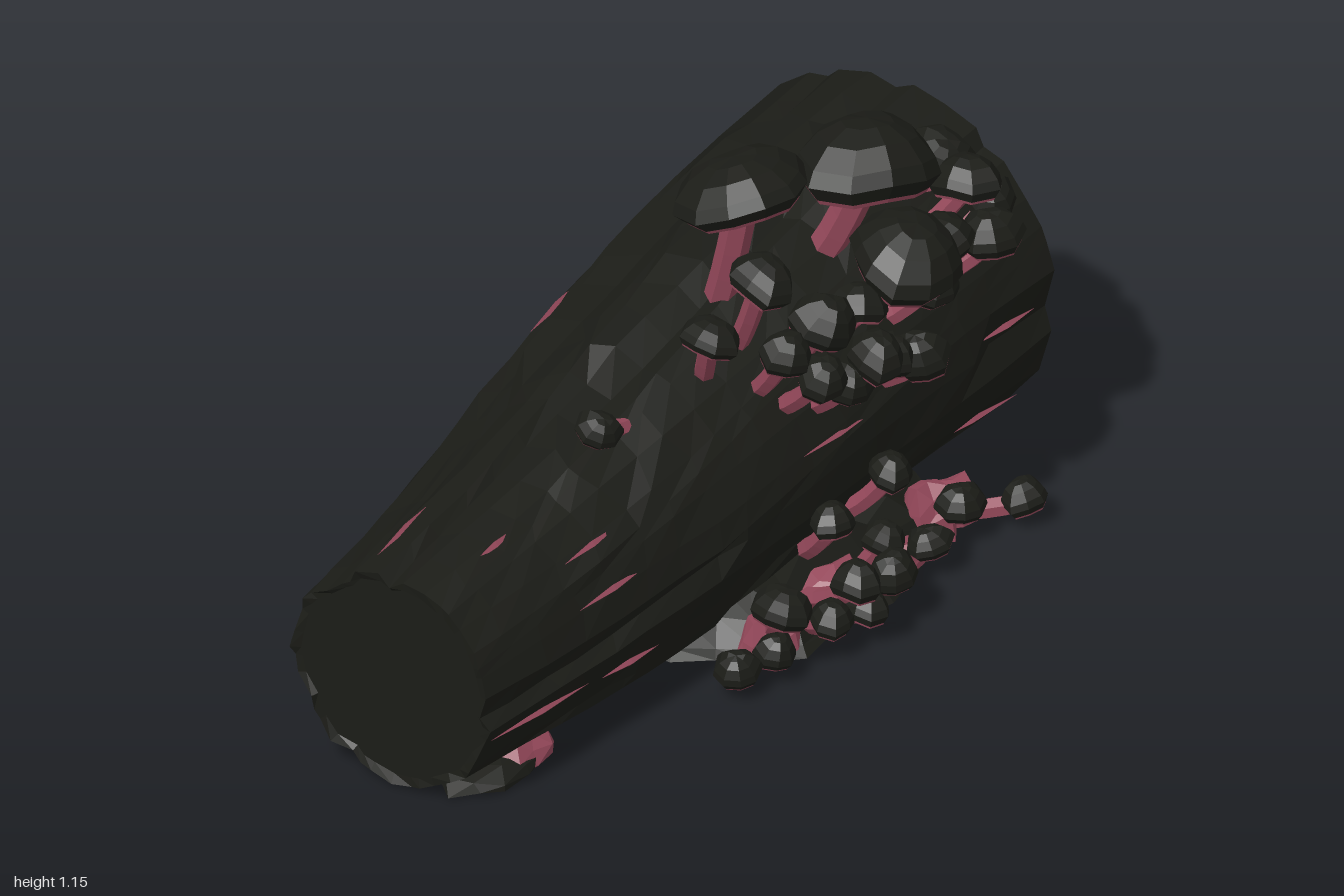
import * as THREE from 'three';

const dark = new THREE.MeshStandardMaterial({ color: 0x1b1c17, flatShading: true, side: THREE.DoubleSide });
const pink = new THREE.MeshStandardMaterial({ color: 0x94485a, flatShading: true, side: THREE.DoubleSide });

// Repeatable noise in 0..1
const hash = (a, b = 0) => {
  const s = Math.sin(a * 127.1 + b * 311.7) * 43758.5453;
  return s - Math.floor(s);
};

// Skin between closed rings of equal point count
function loft(rings) {
  const n = rings[0].length, index = [];
  for (let i = 0; i < rings.length - 1; i++) {
    for (let j = 0; j < n; j++) {
      const a = i * n + j, b = i * n + (j + 1) % n, c = a + n, d = b + n;
      index.push(a, b, c, b, d, c);
    }
  }
  const g = new THREE.BufferGeometry();
  g.setAttribute('position', new THREE.Float32BufferAttribute(rings.flat(2), 3));
  g.setIndex(index);
  g.computeVertexNormals();
  return g;
}

// Log profile along x: top height and radius
const stations = [[0.555, 0.268], [0.605, 0.315], [0.69, 0.367], [0.775, 0.4], [0.84, 0.424], [0.86, 0.436]];
function logAt(x) {
  const t = THREE.MathUtils.clamp((x + 1) / 0.4, 0, 4.999), i = Math.floor(t), f = t - i;
  const mix = k => THREE.MathUtils.lerp(stations[i][k], stations[i + 1][k], f);
  return { r: mix(1), y: mix(0) - mix(1), z: -0.022 };
}

function logGeometry() {
  const sides = 40, rings = [], steps = 18;
  const ring = (x, scale, step, rough, jag) => {
    const c = logAt(x), pts = [];
    for (let j = 0; j < sides; j++) {
      const a = (j + 0.3 * Math.sin(x * 3 + j * 1.7)) / sides * Math.PI * 2;
      // Each bark strip keeps its height for several steps; some strips are grooves
      const strip = hash(j, Math.floor((step + hash(j) * 8) / 8));
      const ridge = (strip < 0.17 ? -0.9 : strip * 0.6 - 0.25) * rough + (hash(j, step) - 0.5) * 0.2 * rough;
      const r = (c.r + ridge) * scale;
      pts.push([x + (hash(j, step + 8) - 0.5) * jag, Math.max(0.01, c.y + r * Math.cos(a)), c.z + r * Math.sin(a)]);
    }
    return pts;
  };
  // Small end, bark, large end with a raised heartwood disc
  rings.push(ring(-0.985, 0, 0, 0, 0), ring(-0.985, 0.92, 0, 0.015, 0));
  for (let i = 0; i <= steps; i++) rings.push(ring(-0.99 + 1.97 * i / steps, 1, i, 0.023, i % steps ? 0.05 : 0.015));
  rings.push(ring(0.972, 0.93, steps, 0.02, 0), ring(0.968, 0.67, 2, 0.02, 0), ring(0.976, 0.63, 2, 0.02, 0), ring(0.976, 0, 2, 0, 0));
  return loft(rings);
}

// Flat-bottomed bank of moss, set further along the log at the back
function mound() {
  const n = 26, power = v => Math.sign(v) * Math.abs(v) ** 0.8;
  const ring = (scale, y) => Array.from({ length: n }, (_, j) => {
    const a = j / n * Math.PI * 2, k = scale * (0.93 + 0.13 * hash(j, 5));
    const back = Math.max(0, -Math.cos(a));
    const reach = 0.46 - 0.05 * back + 0.13 * back ** 8;
    return [0.28 + 0.12 * back + (0.53 - 0.06 * back) * k * power(Math.sin(a)), y * (0.6 + 0.8 * hash(j, y)), reach * k * power(Math.cos(a))];
  });
  return loft([ring(0, 0.005), ring(1, 0.005), ring(0.95, 0.025), ring(0.86, 0.075), ring(0.72, 0.13), ring(0, 0.13)]);
}

// Faceted cap with pink underside on a bent stem
function mushroom([x, top, z, r, h, tiltX, tiltZ], base, seed) {
  const group = new THREE.Group();
  group.name = 'mushroom';
  const head = new THREE.Group();
  const sides = r > 0.12 ? 11 : 8;
  const profile = pts => new THREE.LatheGeometry(pts.map(p => new THREE.Vector2(p[0] * r, p[1] * h)), sides);
  const wobble = g => {
    const p = g.attributes.position;
    for (let i = 0; i < p.count; i++) {
      const a = Math.atan2(p.getZ(i), p.getX(i));
      const k = 1 + 0.06 * Math.sin(2 * a + seed) + 0.05 * Math.sin(3 * a + seed * 2);
      p.setXYZ(i, p.getX(i) * k, p.getY(i) + 0.06 * h * Math.sin(3 * a + seed) * Math.hypot(p.getX(i), p.getZ(i)) / r, p.getZ(i) * k);
    }
    g.computeVertexNormals();
    return g;
  };
  const cap = new THREE.Mesh(wobble(profile([[0.84, -0.56], [1, -0.32], [0.92, -0.08], [0.68, 0.22], [0.36, 0.4], [0, 0.44]])), dark);
  cap.name = 'cap';
  const gills = new THREE.Mesh(wobble(profile([[0, -0.36], [0.25, -0.44], [0.8, -0.63], [0.84, -0.56]])), pink);
  gills.name = 'gills';
  head.add(cap, gills);
  head.position.set(x, top - 0.44 * h, z);
  head.rotation.set(tiltX ?? (hash(seed, 1) - 0.3) * 0.7, 0, tiltZ ?? (hash(seed, 3) - 0.5) * 0.6);
  const start = new THREE.Vector3(0, -0.38 * h, 0).applyEuler(head.rotation).add(head.position);
  const bend = start.clone().lerp(base, 0.5);
  bend.y -= 0.12 * start.distanceTo(base);
  const curve = new THREE.QuadraticBezierCurve3(start, bend, base);
  const stem = new THREE.Mesh(new THREE.TubeGeometry(curve, 4, Math.max(0.025, r * 0.24), 6), pink);
  stem.name = 'stem';
  group.add(head, stem);
  return group;
}

export function createModel() {
  const model = new THREE.Group();
  model.name = 'mushroomLog';
  const add = (name, geometry, material, parent = model) => {
    const m = new THREE.Mesh(geometry, material);
    m.name = name;
    parent.add(m);
    return m;
  };
  add('log', logGeometry(), dark);
  add('mossMound', mound(), dark);

  // Reddish cracks: x, angle from the top toward the front, half length
  const cracks = [[-0.8, 1.85, 0.18], [-0.5, 1.9, 0.1], [0.75, 2.1, 0.16], [0.2, 1.35, 0.14], [-0.55, 1.2, 0.12], [-0.8, -0.3, 0.13],
    [-0.75, 0.4, 0.09], [-0.55, 0.85, 0.1], [0.8, 1.5, 0.1], [0.1, -0.9, 0.13], [0.6, -1.3, 0.16], [-0.3, -1.6, 0.15], [0.5, -0.5, 0.1]];
  for (const [x, a, len] of cracks) {
    const c = logAt(x), r = c.r + 0.001;
    const m = add('barkCrack', new THREE.OctahedronGeometry(1), pink);
    m.scale.set(len, 0.01, 0.01);
    m.position.set(x, c.y + r * Math.cos(a), c.z + r * Math.sin(a));
    m.rotation.set(0, -0.1 * Math.sin(a), 0.1 * Math.cos(a));
  }

  // Mushrooms on the log: x, top, z, cap radius, cap height, optional tilts
  const upper = [
    [0.15, 1.14, 0.13, 0.155, 0.12, -0.3, 0], [0.48, 1.11, 0.25, 0.172, 0.155, -0.12, -0.2], [0.41, 0.94, 0.42, 0.14, 0.14, 0.25, -0.1],
    [0.06, 0.97, 0.27, 0.08, 0.09], [-0.08, 0.86, 0.22, 0.07, 0.07], [-0.36, 0.71, 0.11, 0.055, 0.06],
    [0.13, 0.87, 0.39, 0.08, 0.1], [0.02, 0.82, 0.36, 0.065, 0.08], [0.06, 0.76, 0.43, 0.065, 0.08],
    [0.2, 0.77, 0.48, 0.07, 0.09], [0.29, 0.71, 0.45, 0.06, 0.08], [0.4, 0.66, 0.45, 0.065, 0.1],
    [0.15, 0.7, 0.44, 0.06, 0.08], [0.27, 0.83, 0.38, 0.07, 0.08], [0.5, 0.78, 0.42, 0.07, 0.08],
    [0.6, 0.83, 0.37, 0.08, 0.08], [0.73, 0.92, 0.35, 0.085, 0.09], [0.82, 0.88, 0.22, 0.08, 0.08],
    [0.75, 0.78, 0.4, 0.075, 0.09], [0.84, 0.79, 0.34, 0.06, 0.07]];
  const cluster = new THREE.Group();
  cluster.name = 'upperMushrooms';
  upper.forEach((m, i) => {
    const [x, top, z, , h] = m;
    const bx = x * 0.85 + 0.04, c = logAt(bx);
    const dir = new THREE.Vector2(top - h - c.y - 0.02, z - c.z).normalize().multiplyScalar(c.r * 0.95);
    cluster.add(mushroom(m, new THREE.Vector3(bx, c.y + dir.x, c.z + dir.y), i + 1));
  });
  model.add(cluster);

  // Mushrooms growing from the foot of the log, front then back
  const lower = [
    [0.06, 0.38, 0.45, 0.055, 0.07], [0.28, 0.4, 0.46, 0.055, 0.07], [0.06, 0.25, 0.52, 0.06, 0.08],
    [-0.1, 0.23, 0.43, 0.07, 0.08], [-0.24, 0.12, 0.4, 0.055, 0.07], [-0.14, 0.13, 0.44, 0.05, 0.07],
    [0.2, 0.2, 0.52, 0.06, 0.08], [0.02, 0.15, 0.48, 0.055, 0.07], [0.13, 0.13, 0.5, 0.055, 0.07],
    [0.27, 0.22, 0.45, 0.05, 0.07], [0.42, 0.13, 0.46, 0.055, 0.06], [0.58, 0.15, 0.44, 0.06, 0.07], [0.72, 0.12, 0.51, 0.055, 0.07],
    [0.36, 0.31, -0.51, 0.075, 0.09, -0.2, 0], [0.22, 0.25, -0.46, 0.065, 0.08], [0.3, 0.17, -0.41, 0.05, 0.07], [0.45, 0.15, -0.41, 0.05, 0.06]];
  const ground = new THREE.Group();
  ground.name = 'groundMushrooms';
  lower.forEach((m, i) => {
    const [x, top, z] = m;
    ground.add(mushroom(m, new THREE.Vector3(x * 0.8 + 0.04, Math.max(0.04, top - 0.17), Math.sign(z) * 0.36), i + 40));
  });
  model.add(ground);

  // Moss lumps: x, z, width, height, depth, colour
  const lumps = [[-0.78, 0.12, 0.17, 0.045, 0.1, dark], [-0.74, 0.13, 0.11, 0.07, 0.08, pink], [-0.02, 0.34, 0.12, 0.09, 0.07, pink],
    [0.18, 0.37, 0.11, 0.12, 0.08, pink], [0.38, 0.37, 0.12, 0.08, 0.07, pink], [0.56, 0.36, 0.07, 0.14, 0.07, pink],
    [0.66, 0.36, 0.08, 0.09, 0.07, pink], [0.32, -0.35, 0.1, 0.17, 0.07, pink], [0.52, -0.34, 0.12, 0.12, 0.07, pink], [0.7, -0.31, 0.09, 0.12, 0.06, pink]];
  lumps.forEach(([x, z, w, h, d, material], k) => {
    const g = new THREE.IcosahedronGeometry(1, 1), p = g.attributes.position;
    for (let i = 0; i < p.count; i++) {
      const s = 1 + 0.12 * Math.sin(5 * p.getX(i) + 4 * p.getZ(i) + k * 2);
      p.setXYZ(i, p.getX(i) * s, Math.max(0, p.getY(i) * s), p.getZ(i) * s);
    }
    const m = add('mossLump', g, material);
    m.scale.set(w, h, d);
    m.position.set(x, 0.01, z);
  });
  return model;
}
